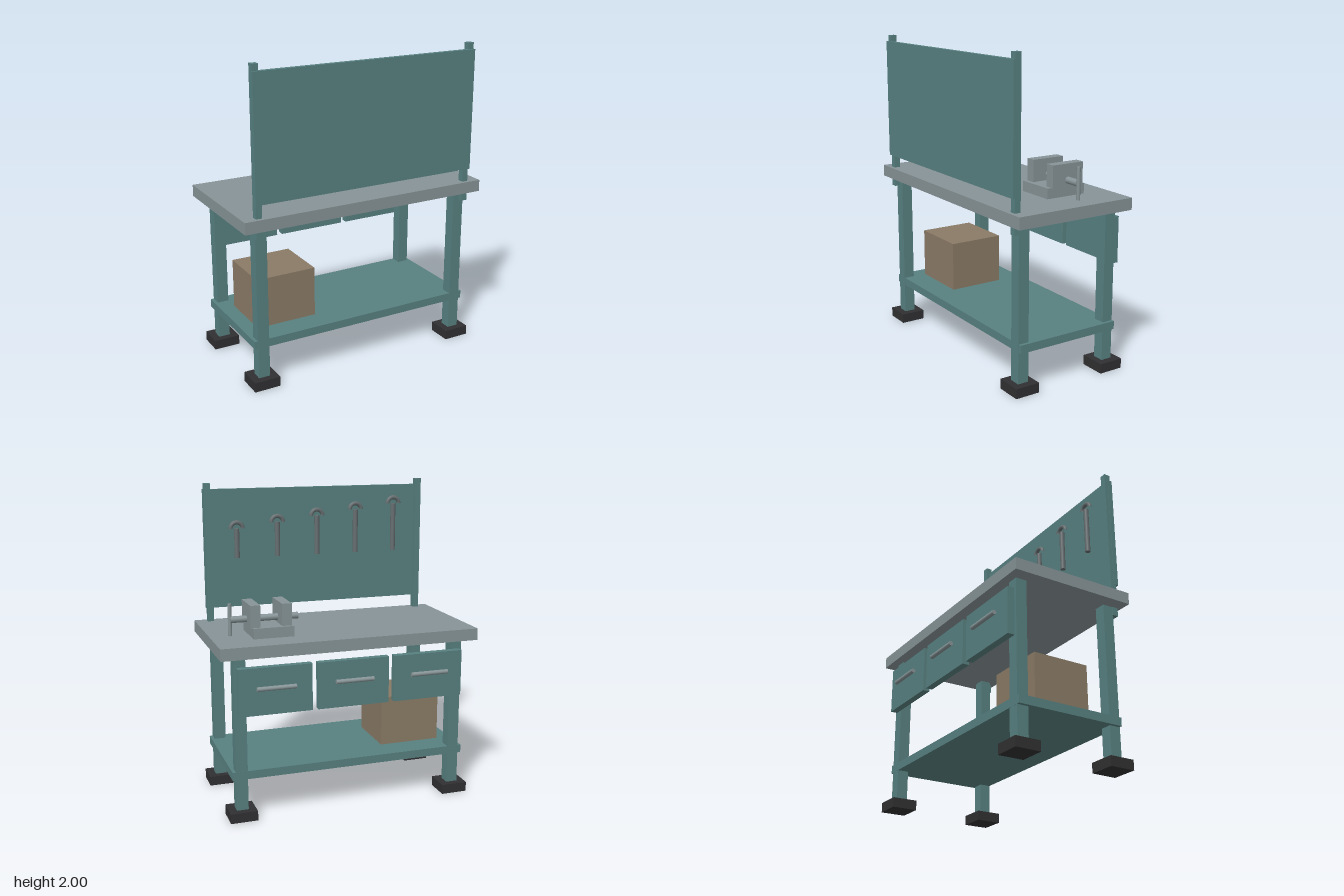
import * as THREE from 'three';

const mat = (color) => new THREE.MeshStandardMaterial({ color });

export function createModel() {
  const root = new THREE.Group();
  const teal = mat(0x588080), steel = mat(0x869396), rubber = mat(0x303032);
  const card = mat(0x8a7a66), toolSteel = mat(0x666e70);

  const add = (name, geometry, material, x, y, z, parent = root) => {
    const mesh = new THREE.Mesh(geometry, material);
    mesh.name = name;
    mesh.position.set(x, y, z);
    parent.add(mesh);
    return mesh;
  };
  // Box given by its minimum and maximum along each axis
  const box = (name, material, [x0, x1], [y0, y1], [z0, z1], parent) =>
    add(name, new THREE.BoxGeometry(x1 - x0, y1 - y0, z1 - z0), material,
      (x0 + x1) / 2, (y0 + y1) / 2, (z0 + z1) / 2, parent);
  const rod = (name, material, radius, length, x, y, z, parent) =>
    add(name, new THREE.CylinderGeometry(radius, radius, length, 16), material, x, y, z, parent);
  const group = (name) => {
    const g = new THREE.Group();
    g.name = name;
    root.add(g);
    return g;
  };

  // Worktop and lower shelf
  box('worktop', steel, [-0.83, 0.83], [1.03, 1.105], [-0.395, 0.42]);
  box('lowerShelf', teal, [-0.765, 0.765], [0.26, 0.312], [-0.34, 0.36]);

  // Legs with rubber feet, and the posts that carry the tool board
  for (const x of [-0.707, 0.707]) {
    for (const z of [-0.303, 0.327]) {
      box('leg', teal, [x - 0.037, x + 0.037], [0.05, 1.03], [z - 0.036, z + 0.036]);
      box('foot', rubber, [x - 0.085, x + 0.085], [0, 0.062], [z - 0.081, z + 0.081]);
    }
    const px = Math.sign(x) * 0.73;
    box('boardPost', teal, [px - 0.02, px + 0.02], [0.975, 2], [0.356, 0.396]);
  }
  box('toolBoard', teal, [-0.753, 0.753], [1.19, 1.96], [0.38, 0.41]);

  // Drawer fronts with bar handles
  for (const x of [-0.497, 0, 0.497]) {
    const drawer = group('drawer');
    box('drawerFront', teal, [x - 0.23, x + 0.23], [0.675, 0.97], [-0.385, -0.34], drawer);
    rod('drawerHandle', steel, 0.014, 0.245, x, 0.845, -0.406, drawer).rotation.z = Math.PI / 2;
  }

  // Storage box on the shelf
  box('storageBox', card, [-0.67, -0.27], [0.312, 0.635], [-0.17, 0.2]);

  // Vise
  const vise = group('vise');
  box('viseBase', steel, [0.33, 0.586], [1.105, 1.17], [-0.222, 0.05], vise);
  for (const x of [0.37, 0.568])
    box('viseJaw', steel, [x - 0.031, x + 0.031], [1.165, 1.308], [-0.2, 0.022], vise);
  rod('viseScrew', steel, 0.021, 0.43, 0.485, 1.207, -0.09, vise).rotation.z = Math.PI / 2;
  rod('viseHandle', steel, 0.012, 0.2, 0.702, 1.206, -0.088, vise);

  // Hanging tools, growing longer towards -x
  for (let i = 0; i < 5; i++) {
    const tool = group('hangingTool');
    const x = 0.545 - i * 0.2725, bottom = 1.517, top = 1.707 + i * 0.0325;
    rod('toolHandle', toolSteel, 0.017, top - bottom, x, (top + bottom) / 2, 0.352, tool);
    add('toolHook', new THREE.TorusGeometry(0.04, 0.014, 10, 20, Math.PI), toolSteel, x, top, 0.352, tool);
  }
  return root;
}
